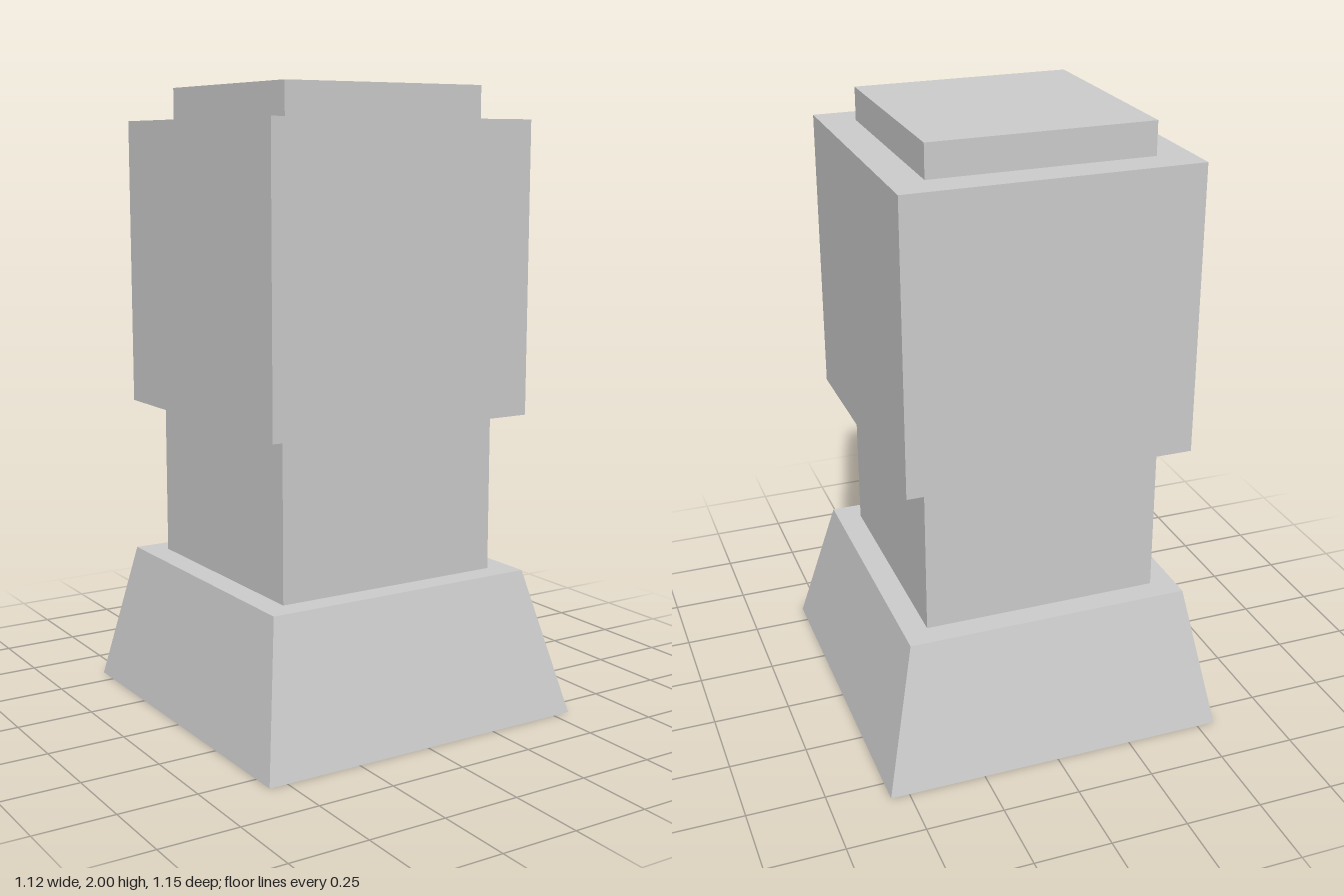
import * as THREE from 'three';

const stone = new THREE.MeshStandardMaterial({ color: 0xcccccc });
stone.name = 'light grey';

// Square block between two heights, centred on (x, z)
function block(name, width, depth, y0, y1, x, z) {
  const mesh = new THREE.Mesh(new THREE.BoxGeometry(width, y1 - y0, depth), stone);
  mesh.name = name;
  mesh.position.set(x, (y0 + y1) / 2, z);
  return mesh;
}

export function createModel() {
  const model = new THREE.Group();
  model.name = 'pedestal';
  const axisX = -0.0125; // the upper blocks sit slightly off centre

  // Flared base: a box whose top corners are drawn in
  const base = block('base', 1.12, 1.155, 0, 0.465, 0, 0);
  const p = base.geometry.attributes.position;
  for (let i = 0; i < p.count; i++) {
    if (p.getY(i) > 0) {
      p.setX(i, axisX + Math.sign(p.getX(i)) * 0.4625);
      p.setZ(i, -0.002 + Math.sign(p.getZ(i)) * 0.4625);
    }
  }
  base.geometry.computeVertexNormals();
  model.add(base);

  // Neck, main block and cap
  model.add(
    block('neck', 0.768, 0.768, 0.465, 0.974, axisX, -0.002),
    block('mainBlock', 0.925, 0.925, 0.974, 1.895, axisX, -0.002),
    block('cap', 0.705, 0.705, 1.895, 2, axisX, -0.002)
  );
  return model;
}
